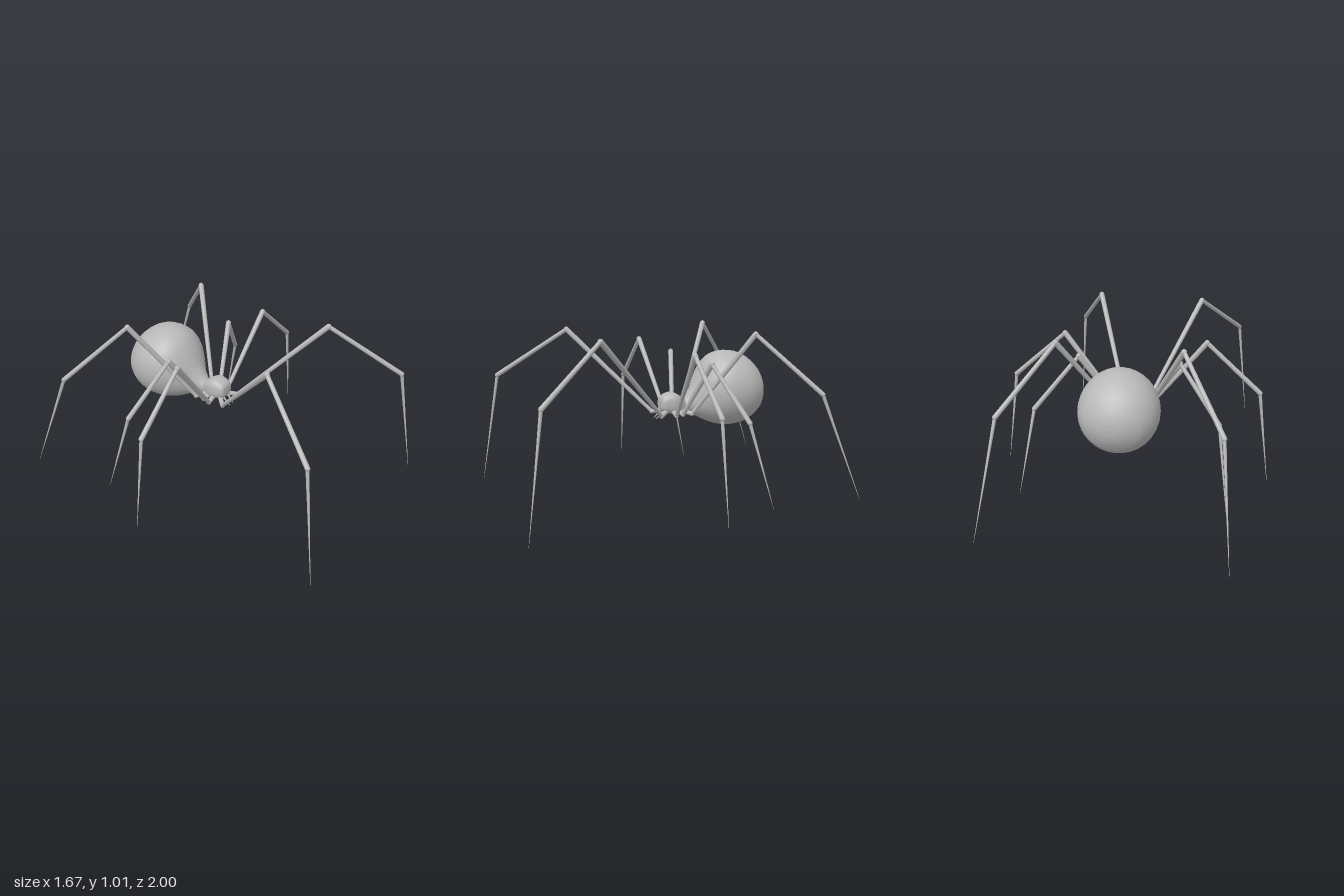
import * as THREE from 'three';

const grey = new THREE.MeshStandardMaterial({ color: 0xb8b8b8 });
grey.name = 'grey';

// Smooth skin through rounded sections [z, bottom y, top y, half width], listed front to back.
// A roundness of 1 gives ellipses, lower values give boxier sections.
function loft(name, sections, steps, roundness) {
  const sides = 32;
  const centre = new THREE.CatmullRomCurve3(sections.map(([z, b, t]) => new THREE.Vector3(0, (b + t) / 2, z)));
  const size = new THREE.CatmullRomCurve3(sections.map(([z, b, t, w]) => new THREE.Vector3(w, (t - b) / 2, z)));
  const bulge = (v) => Math.sign(v) * Math.abs(v) ** roundness;
  const pos = [], index = [];
  for (let i = 0; i <= steps; i++) {
    const c = centre.getPoint(i / steps), s = size.getPoint(i / steps);
    for (let j = 0; j < sides; j++) {
      const a = (j / sides) * Math.PI * 2;
      pos.push(bulge(Math.cos(a)) * Math.max(s.x, 0.001), c.y + bulge(Math.sin(a)) * Math.max(s.y, 0.001), c.z);
    }
  }
  for (let i = 0; i < steps; i++) {
    for (let j = 0; j < sides; j++) {
      const a = i * sides + j, b = i * sides + (j + 1) % sides;
      index.push(a, a + sides, b, b, a + sides, b + sides);
    }
  }
  const geo = new THREE.BufferGeometry();
  geo.setAttribute('position', new THREE.Float32BufferAttribute(pos, 3));
  geo.setIndex(index);
  geo.computeVertexNormals();
  const mesh = new THREE.Mesh(geo, grey);
  mesh.name = name;
  return mesh;
}

// Tapered round limb between two points
function limb(name, a, b, ra, rb) {
  const dir = b.clone().sub(a);
  const mesh = new THREE.Mesh(new THREE.CylinderGeometry(rb, ra, dir.length(), 10), grey);
  mesh.position.copy(a).add(b).multiplyScalar(0.5);
  mesh.quaternion.setFromUnitVectors(new THREE.Vector3(0, 1, 0), dir.normalize());
  mesh.name = name;
  return mesh;
}

function joint(name, p, r) {
  const mesh = new THREE.Mesh(new THREE.SphereGeometry(r, 12, 8), grey);
  mesh.position.copy(p);
  mesh.name = name;
  return mesh;
}

// Leg points: root, hip, knee, ankle, tip (left side)
const legs = {
  FrontLeg: [[0.03, 0.5, -0.02], [0.08, 0.483, 0.035], [0.33, 0.99, 0.5], [0.555, 0.695, 0.895], [0.625, 0, 1]],
  SecondLeg: [[0.03, 0.5, -0.06], [0.1, 0.483, -0.055], [0.43, 0.895, -0.02], [0.755, 0.605, -0.025], [0.835, 0.01, -0.035]],
  ThirdLeg: [[0.03, 0.5, -0.09], [0.085, 0.483, -0.105], [0.3, 0.82, -0.19], [0.55, 0.51, -0.31], [0.625, 0, -0.44]],
  BackLeg: [[0.03, 0.5, -0.11], [0.085, 0.483, -0.165], [0.355, 0.99, -0.445], [0.615, 0.655, -0.75], [0.695, 0, -0.995]],
};

function makeLeg(name, points, side) {
  const leg = new THREE.Group();
  leg.name = name;
  const [root, hip, knee, ankle, tip] = points.map(([x, y, z]) => new THREE.Vector3(x * side, y, z));
  leg.add(
    limb('hipSegment', root, hip, 0.015, 0.014),
    joint('hipJoint', hip, 0.015),
    limb('upperLeg', hip, knee, 0.012, 0.0165),
    joint('kneeJoint', knee, 0.0165),
    limb('lowerLeg', knee, ankle, 0.0125, 0.0145),
    joint('ankleJoint', ankle, 0.0145),
    limb('foot', ankle, tip, 0.0105, 0.0006),
  );
  return leg;
}

export function createModel() {
  const model = new THREE.Group();
  model.name = 'spider';

  // Pear-shaped abdomen, narrowing to the waist
  model.add(loft('abdomen', [
    [-0.11, 0.485, 0.555, 0.035], [-0.15, 0.475, 0.57, 0.045], [-0.2, 0.462, 0.635, 0.075],
    [-0.25, 0.437, 0.735, 0.128], [-0.3, 0.412, 0.805, 0.178], [-0.36, 0.39, 0.843, 0.215],
    [-0.43, 0.379, 0.853, 0.231], [-0.5, 0.384, 0.843, 0.228], [-0.56, 0.405, 0.814, 0.208],
    [-0.62, 0.447, 0.76, 0.165], [-0.66, 0.51, 0.69, 0.1], [-0.675, 0.556, 0.643, 0.05],
    [-0.68, 0.599, 0.601, 0.001],
  ], 48, 1));

  // Boxy head and chest
  model.add(loft('head', [
    [0.015, 0.54, 0.542, 0.001], [0.012, 0.51, 0.575, 0.04], [0, 0.495, 0.592, 0.053],
    [-0.03, 0.484, 0.607, 0.061], [-0.065, 0.477, 0.612, 0.066], [-0.1, 0.475, 0.598, 0.059],
    [-0.13, 0.478, 0.575, 0.047], [-0.16, 0.49, 0.555, 0.03], [-0.165, 0.519, 0.521, 0.001],
  ], 32, 0.72));

  for (const side of [1, -1]) {
    const label = side > 0 ? 'left' : 'right';
    for (const [name, points] of Object.entries(legs)) model.add(makeLeg(label + name, points, side));
    // Short fang under the face
    model.add(limb(label + 'Fang', new THREE.Vector3(0.022 * side, 0.505, -0.005),
      new THREE.Vector3(0.018 * side, 0.455, 0.045), 0.008, 0.002));
  }
  return model;
}
